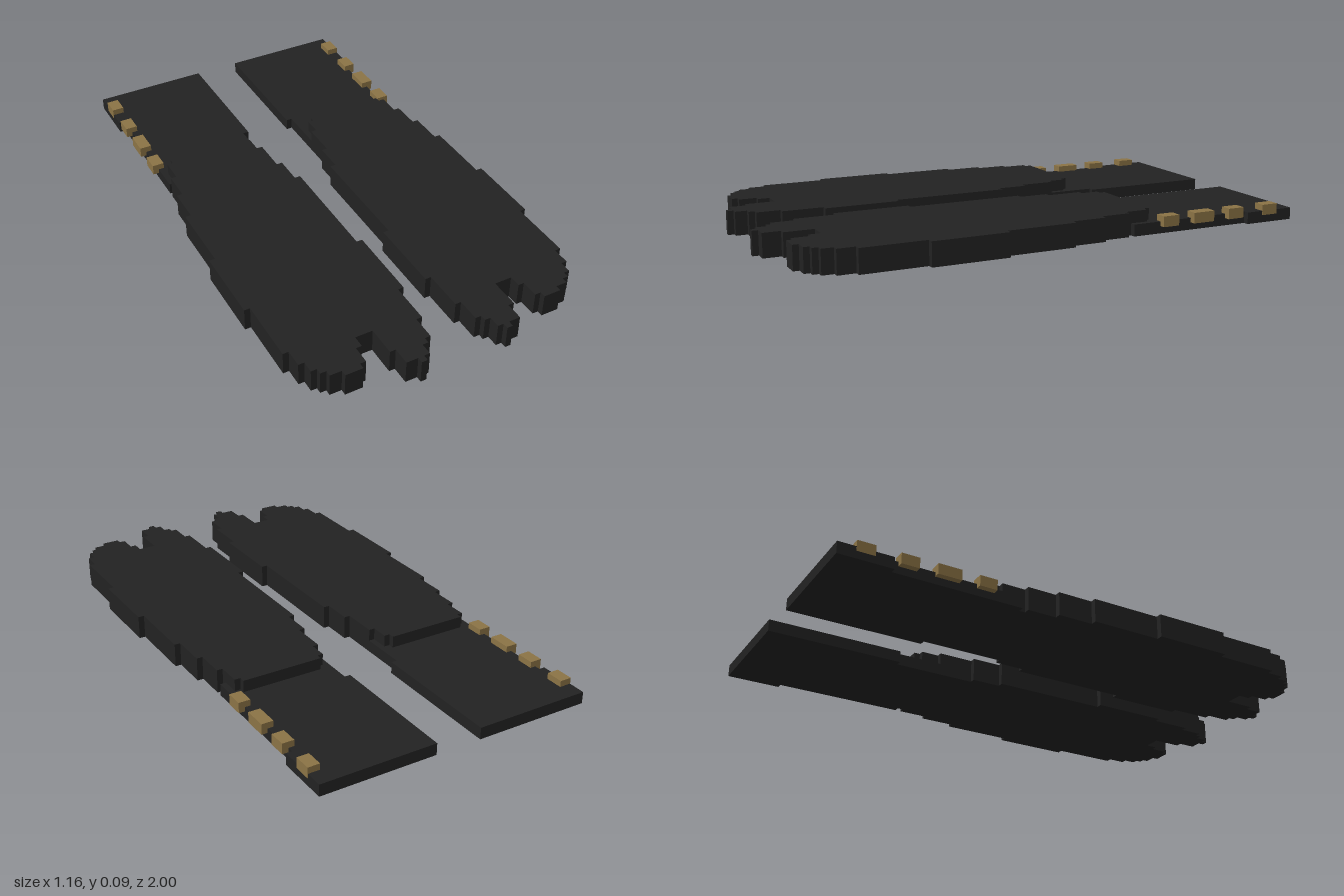
import * as THREE from 'three';

const U = 1 / 45; // grid step of the blocky outline

// Stepped outline: each run [x, z] steps sideways to x, then along to z
function steppedSlab(startZ, runs, height, side) {
  const pts = [];
  let z = startZ;
  for (const [x, endZ] of runs) {
    pts.push(new THREE.Vector2(side * x * U, z * U - 1));
    pts.push(new THREE.Vector2(side * x * U, endZ * U - 1));
    z = endZ;
  }
  const geo = new THREE.ExtrudeGeometry(new THREE.Shape(pts), { depth: height, bevelEnabled: false });
  geo.rotateX(Math.PI / 2);
  geo.translate(0, height, 0);
  return geo;
}

// Outer edge, big-toe notch and inner edge of the foot, in grid steps
const FOOT = [
  [21, 28], [22, 32], [23, 37], [24, 43], [25, 55], [26, 68], [25, 79], [24, 82],
  [23, 84], [22, 85], [21, 86], [19, 87],
  [16, 86], [15, 83], [14, 81], [11, 86],
  [10, 89], [8, 90], [7, 89], [6, 87], [5, 86], [4, 82],
  [3, 75], [2, 62], [3, 42], [4, 37], [5, 31], [6, 28], [7, 27],
];
const CUFF = [[24, 9], [23, 31], [5, 23], [4, 0]];
const CLASPS = [[3, 6], [10, 13], [16, 20], [23, 26]];

export function createModel() {
  const black = new THREE.MeshStandardMaterial({ color: 0x222222 });
  black.name = 'black cloth';
  const brass = new THREE.MeshStandardMaterial({ color: 0x8b7345 });
  brass.name = 'brass';

  const model = new THREE.Group();
  model.name = 'splitToeSocks';

  for (const side of [1, -1]) {
    const sock = new THREE.Group();
    sock.name = side > 0 ? 'leftSock' : 'rightSock';
    const add = (geo, mat, name) => {
      const mesh = new THREE.Mesh(geo, mat);
      mesh.name = name;
      sock.add(mesh);
      return mesh;
    };

    // Thick foot and thin flat cuff behind it
    add(steppedSlab(27, FOOT, 4 * U, side), black, 'foot');
    add(steppedSlab(0, CUFF, 2 * U, side), black, 'cuff');

    // Clasps along the outer edge of the cuff
    for (const [z0, z1] of CLASPS) {
      const clasp = add(new THREE.BoxGeometry(2.04 * U, 1.8 * U, (z1 - z0) * U), brass, 'clasp');
      clasp.position.set(side * 23.02 * U, 2.15 * U, ((z0 + z1) / 2) * U - 1);
    }
    model.add(sock);
  }
  return model;
}
